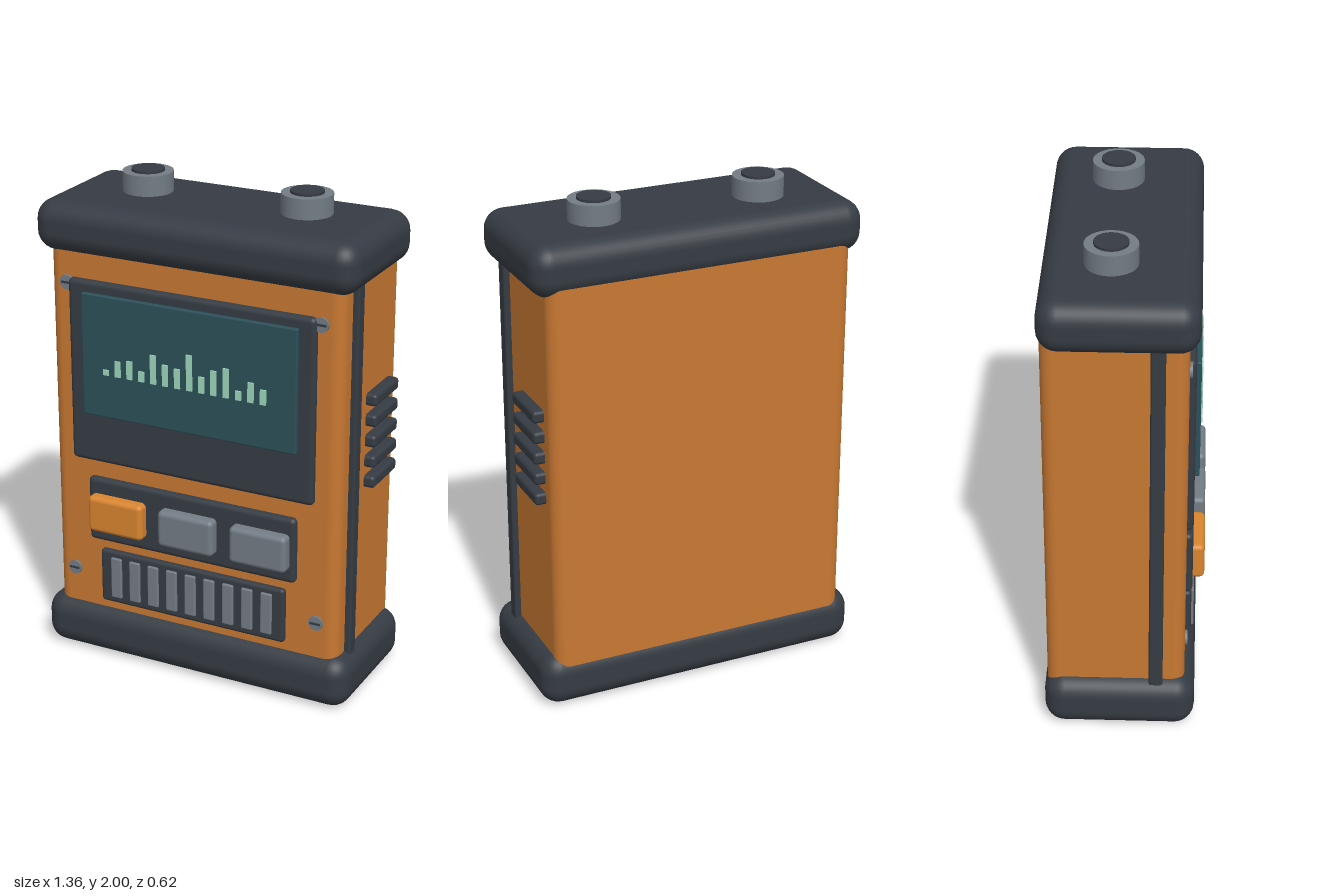
import * as THREE from 'three';
import { RoundedBoxGeometry } from 'three/addons/geometries/RoundedBoxGeometry.js';

const mat = (name, color) => {
  const m = new THREE.MeshStandardMaterial({ color });
  m.name = name;
  return m;
};

export function createModel() {
  const orange = mat('orange shell', 0xc87832);
  const accent = mat('bright orange', 0xd98530);
  const dark = mat('dark rubber', 0x363c44);
  const grey = mat('grey metal', 0x737c85);
  const glass = mat('screen teal', 0x2c505a);
  const mint = mat('trace mint', 0x9cd6bb);

  const model = new THREE.Group();
  model.name = 'handheldInstrument';

  const add = (name, geometry, material, parent = model) => {
    const mesh = new THREE.Mesh(geometry, material);
    mesh.name = name;
    parent.add(mesh);
    return mesh;
  };
  // Box given by its limits; rounded when r > 0
  const block = (name, material, [x0, x1], [y0, y1], [z0, z1], r = 0, parent = model) => {
    const size = [x1 - x0, y1 - y0, z1 - z0];
    const g = r ? new RoundedBoxGeometry(...size, 4, r) : new THREE.BoxGeometry(...size);
    const mesh = add(name, g, material, parent);
    mesh.position.set((x0 + x1) / 2, (y0 + y1) / 2, (z0 + z1) / 2);
    return mesh;
  };
  const group = (name) => {
    const g = new THREE.Group();
    g.name = name;
    model.add(g);
    return g;
  };

  // Shell and rubber bumpers
  block('body', orange, [-0.625, 0.625], [0.12, 1.81], [-0.3, 0.24], 0.05);
  block('bottomBumper', dark, [-0.68, 0.68], [0, 0.22], [-0.31, 0.28], 0.08);
  block('topBumper', dark, [-0.68, 0.68], [1.705, 1.91], [-0.31, 0.28], 0.08);

  // Seam strips on both sides
  for (const s of [-1, 1]) {
    const x = s * 0.625;
    block(s > 0 ? 'leftSeam' : 'rightSeam', dark, [x - 0.025, x + 0.025], [0.18, 1.75], [0.1, 0.155], 0.01);
  }

  // Side vents, on the model's left only
  const vents = group('sideVents');
  for (let i = 0; i < 5; i++) {
    const y = 0.885 + i * 0.085;
    block('vent', dark, [0.6, 0.668], [y - 0.025, y + 0.025], [-0.22, 0.007], 0.015, vents);
  }

  // Screen with bar graph
  block('screenBezel', dark, [-0.53, 0.525], [0.86, 1.615], [0.2, 0.265], 0.02);
  block('screen', glass, [-0.46, 0.46], [1.07, 1.57], [0.25, 0.283], 0.005);
  const graph = group('barGraph');
  [0.022, 0.065, 0.075, 0.042, 0.118, 0.087, 0.08, 0.145, 0.066, 0.1, 0.118, 0.037, 0.08, 0.06]
    .forEach((h, i) => {
      const x = -0.352 + i * 0.0521;
      block('graphBar', mint, [x - 0.012, x + 0.012], [1.25, 1.25 + h], [0.281, 0.29], 0, graph);
    });

  // Three push buttons
  block('buttonPanel', dark, [-0.46, 0.455], [0.515, 0.79], [0.2, 0.265], 0.02);
  const buttons = group('buttons');
  [accent, grey, grey].forEach((m, i) => {
    const x = -0.318 + i * 0.315;
    block('button', m, [x - 0.122, x + 0.122], [0.572, 0.725], [0.24, 0.31], 0.02, buttons);
  });

  // Speaker grille
  block('grillePanel', dark, [-0.412, 0.41], [0.245, 0.478], [0.2, 0.262], 0.015);
  const grille = group('grilleBars');
  for (let i = -4; i <= 4; i++) {
    const x = i * 0.084;
    block('grilleBar', grey, [x - 0.024, x + 0.024], [0.275, 0.452], [0.24, 0.272], 0.006, grille);
  }

  // Corner screws with slots
  for (const x of [-0.543, 0.54]) {
    for (const y of [0.36, 1.59]) {
      const screw = group('screw');
      screw.position.set(x, y, 0.24);
      add('screwHead', new THREE.CylinderGeometry(0.03, 0.03, 0.02, 20), grey, screw).rotation.x = Math.PI / 2;
      add('screwSlot', new THREE.BoxGeometry(0.044, 0.009, 0.006), dark, screw).position.z = 0.01;
    }
  }

  // Top connectors
  for (const s of [-1, 1]) {
    const connector = group('connector');
    connector.position.set(s * 0.34, 0, -0.05);
    add('connectorCollar', new THREE.CylinderGeometry(0.1, 0.1, 0.11, 32), grey, connector).position.y = 1.935;
    add('connectorCore', new THREE.CylinderGeometry(0.065, 0.065, 0.1, 32), dark, connector).position.y = 1.95;
  }
  return model;
}
